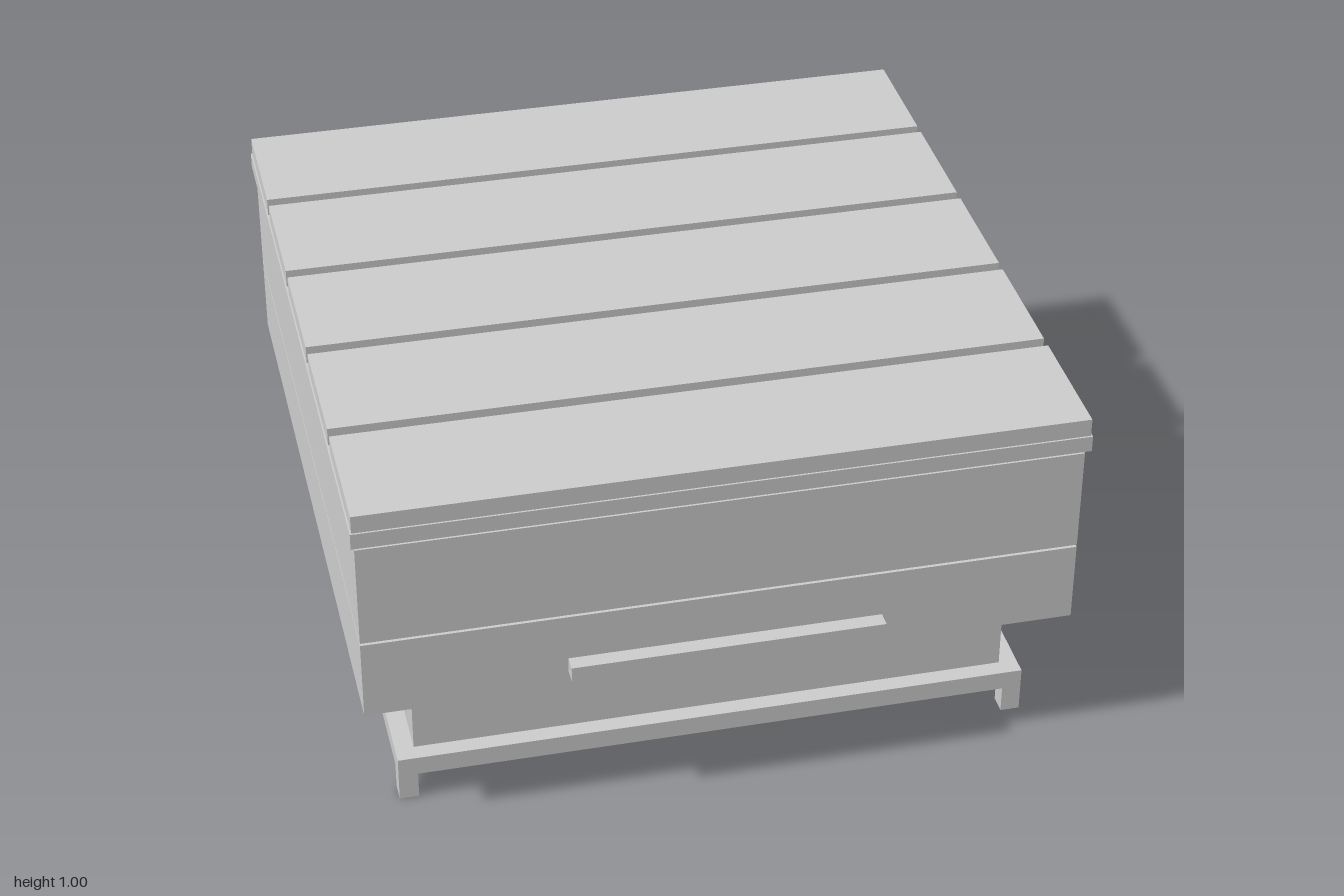
import * as THREE from 'three';

export function createModel() {
  const model = new THREE.Group();
  const material = new THREE.MeshStandardMaterial({ color: 0xcccccc, flatShading: true });

  // Adds a box given its extents along each axis
  function box(name, [x0, x1], [y0, y1], [z0, z1]) {
    const mesh = new THREE.Mesh(new THREE.BoxGeometry(x1 - x0, y1 - y0, z1 - z0), material);
    mesh.position.set((x0 + x1) / 2, (y0 + y1) / 2, (z0 + z1) / 2);
    mesh.name = name;
    model.add(mesh);
  }

  // Stand: tray with four corner feet
  const standX = [-0.875, 0.84], standZ = [-0.852, 0.866], foot = 0.052;
  box('standTray', standX, [0.076, 0.13], standZ);
  for (const x of [standX[0], standX[1] - foot]) {
    for (const z of [standZ[0], standZ[1] - foot]) {
      box('foot', [x, x + foot], [0, 0.076], [z, z + foot]);
    }
  }

  // Body: narrow base, two wide boxes with a fine shadow gap between them
  const bodyX = [-0.966, 0.931], bodyZ = [-0.941, 0.957];
  box('base', [-0.825, 0.79], [0.13, 0.372], [-0.803, 0.819]);
  box('lowerBox', bodyX, [0.372, 0.598], bodyZ);
  box('boxJoint', [-0.955, 0.92], [0.598, 0.605], [-0.93, 0.946]);
  box('upperBox', bodyX, [0.605, 0.897], bodyZ);

  // Lid board and five roof slats
  box('lidBoard', [-0.975, 0.947], [0.905, 0.95], [-0.968, 0.962]);
  const slatDepth = 0.357, pitch = 0.391;
  for (let i = 0; i < 5; i++) {
    const z = -0.964 + i * pitch;
    box('roofSlat', [-0.971, 0.943], [0.95, 1], [z, z + slatDepth]);
  }

  // Grip rails on the front and back
  box('frontRail', [-0.432, 0.406], [0.422, 0.465], [0.957, 1]);
  box('backRail', [-0.432, 0.406], [0.422, 0.465], [-1, -0.957]);

  // Half-round handle frame on the left side
  const frame = new THREE.Shape();
  frame.absarc(0, 0, 0.118, Math.PI, Math.PI * 2, false);
  frame.closePath();
  const opening = new THREE.Path();
  opening.absarc(0, -0.012, 0.094, Math.PI, Math.PI * 2, false);
  opening.closePath();
  frame.holes.push(opening);
  const handle = new THREE.Mesh(
    new THREE.ExtrudeGeometry(frame, { depth: 0.025, bevelEnabled: false, curveSegments: 12 }), material);
  handle.rotation.y = Math.PI / 2;
  handle.position.set(0.945, 0.8, 0);
  handle.name = 'sideHandle';
  model.add(handle);

  return model;
}
